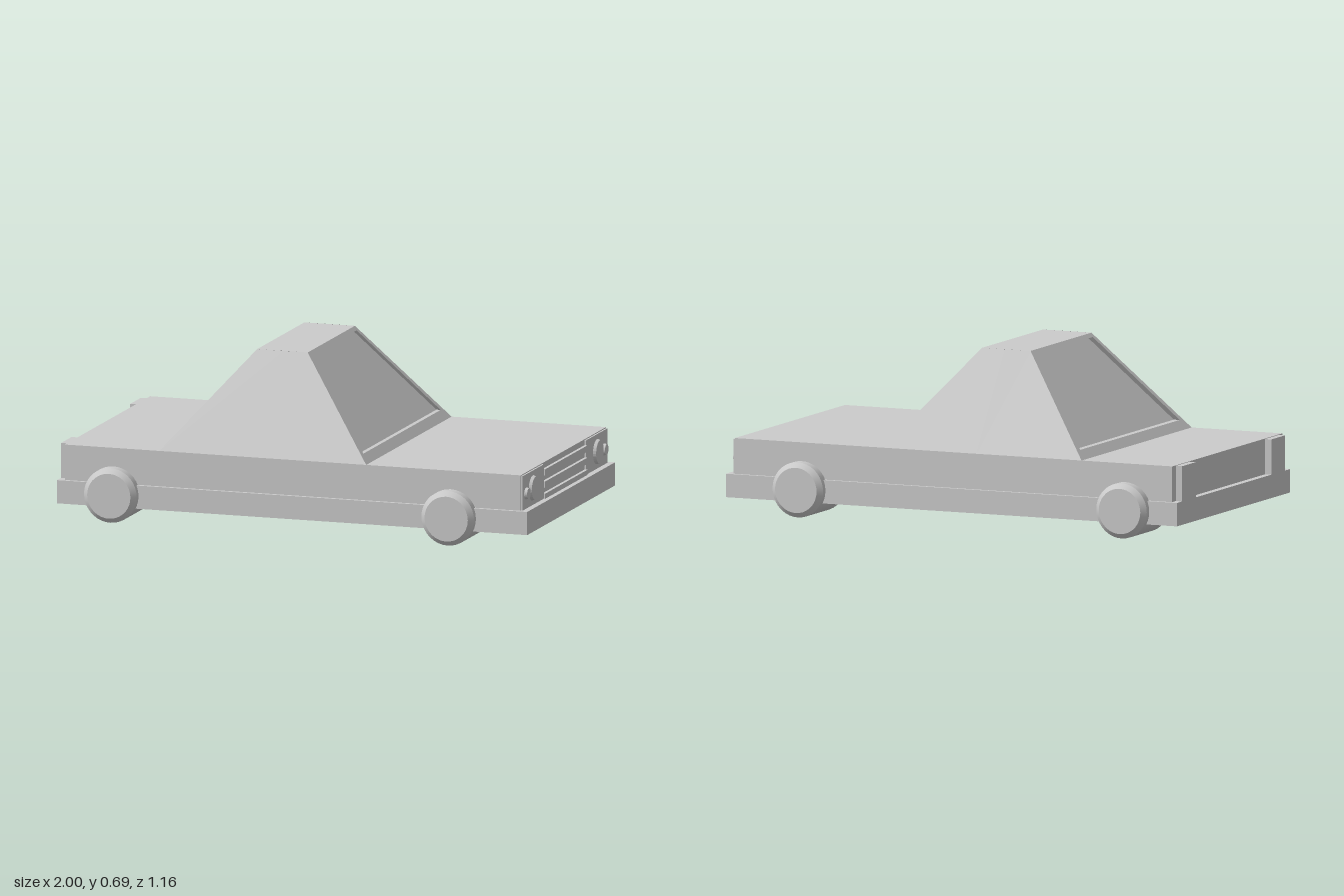
import * as THREE from 'three';

const mat = new THREE.MeshStandardMaterial({ color: 0xcccccc, flatShading: true, side: THREE.DoubleSide });
const smooth = new THREE.MeshStandardMaterial({ color: 0xcccccc });

function add(parent, name, geometry, material = mat) {
  const mesh = new THREE.Mesh(geometry, material);
  mesh.name = name;
  parent.add(mesh);
  return mesh;
}

// Box given by its limits on each axis
function box(parent, name, x0, x1, y0, y1, z0, z1) {
  add(parent, name, new THREE.BoxGeometry(x1 - x0, y1 - y0, z1 - z0))
    .position.set((x0 + x1) / 2, (y0 + y1) / 2, (z0 + z1) / 2);
}

// Surface made of four-cornered faces
function quads(list) {
  const points = list.flatMap(([a, b, c, d]) => [a, b, c, a, c, d]);
  const g = new THREE.BufferGeometry();
  g.setAttribute('position', new THREE.Float32BufferAttribute(points.flat(), 3));
  g.computeVertexNormals();
  return g;
}

// Sloping end of the cabin: frame, reveal and recessed glass
function windowEnd(parent, name, xBase, xTop, recess) {
  const s = Math.sign(xBase);
  const y0 = 0.3, y1 = 0.695;
  const at = (y, z, inset = 0) => [xBase + (xTop - xBase) * (y - y0) / (y1 - y0) - s * inset, y, z];
  const ring = (yb, zb, yt, zt, inset) =>
    [at(yb, s * zb, inset), at(yb, -s * zb, inset), at(yt, -s * zt, inset), at(yt, s * zt, inset)];
  const outer = ring(y0, 0.525, y1, 0.29, 0);
  const inner = ring(0.335, 0.475, 0.68, 0.275, 0);
  const glass = ring(0.335, 0.475, 0.68, 0.275, recess);
  const frame = [];
  for (let i = 0; i < 4; i++) {
    const j = (i + 1) % 4;
    frame.push([outer[i], outer[j], inner[j], inner[i]], [inner[i], inner[j], glass[j], glass[i]]);
  }
  add(parent, name + 'Frame', quads(frame));
  add(parent, name + 'Glass', quads([glass]));
}

function buildCabin() {
  const cabin = new THREE.Group();
  cabin.name = 'cabin';
  windowEnd(cabin, 'windshield', 0.31, -0.02, 0.018);
  windowEnd(cabin, 'rearWindow', -0.57, -0.235, 0.026);
  add(cabin, 'roof', quads([[[-0.235, 0.695, 0.29], [-0.02, 0.695, 0.29], [-0.02, 0.695, -0.29], [-0.235, 0.695, -0.29]]]));
  // Each side has a faint crease at the middle pillar
  for (const s of [1, -1]) {
    const low = [-0.105, 0.3, s * 0.527], high = [-0.122, 0.695, s * 0.292];
    const faces = [
      [[-0.57, 0.3, s * 0.525], low, high, [-0.235, 0.695, s * 0.29]],
      [low, [0.31, 0.3, s * 0.525], [-0.02, 0.695, s * 0.29], high],
    ];
    add(cabin, s > 0 ? 'leftSide' : 'rightSide', quads(s > 0 ? faces : faces.map(f => f.reverse())));
  }
  return cabin;
}

// Disc facing +x with a chamfered rim
function lamp(parent, name, radius, y, z) {
  const g = new THREE.CylinderGeometry(radius * 0.88, radius, 0.016, 28);
  g.rotateZ(-Math.PI / 2);
  add(parent, name, g).position.set(0.978, y, z);
}

export function createModel() {
  const car = new THREE.Group();
  car.name = 'car';

  // Body
  box(car, 'lowerBody', -1, 1, 0.06, 0.155, -0.54, 0.54);
  box(car, 'upperBody', -0.972, 0.967, 0.15, 0.3, -0.525, 0.525);
  car.add(buildCabin());

  // Nose: lamp panels, grille bars and lamps
  for (let i = 0; i < 3; i++) {
    const y = 0.15 + i * 0.05;
    box(car, 'grilleBar', 0.96, 0.98, y, y + 0.026, -0.26, 0.26);
  }
  for (const s of [1, -1]) {
    const z = [s * 0.26, s * 0.52].sort((a, b) => a - b);
    box(car, 'lampPanel', 0.96, 0.974, 0.15, 0.296, z[0], z[1]);
    lamp(car, 'headlight', 0.053, 0.225, s * 0.395);
    lamp(car, 'sideLamp', 0.025, 0.218, s * 0.478);
    // Tail lamps stand proud of the rear panel
    const t = [s * 0.36, s * 0.49].sort((a, b) => a - b);
    box(car, 'tailLamp', -1, -0.96, 0.155, 0.298, t[0], t[1]);
  }

  // Wheels: smooth tread, chamfered shoulder and flat outer face
  const profile = [[0, 0.345], [0.112, 0.345], [0.112, 0.563], [0.092, 0.582], [0, 0.582]];
  for (const x of [-0.765, 0.67]) {
    for (const s of [1, -1]) {
      const wheel = new THREE.Group();
      wheel.name = (x > 0 ? 'front' : 'rear') + (s > 0 ? 'Left' : 'Right') + 'Wheel';
      for (let i = 0; i < 4; i++) {
        const pts = [profile[i], profile[i + 1]].map(p => new THREE.Vector2(...p));
        const g = new THREE.LatheGeometry(pts, 36);
        g.rotateX(s * Math.PI / 2);
        add(wheel, ['innerFace', 'tread', 'shoulder', 'outerFace'][i], g, smooth);
      }
      wheel.position.set(x, 0.112, 0);
      car.add(wheel);
    }
  }
  return car;
}
